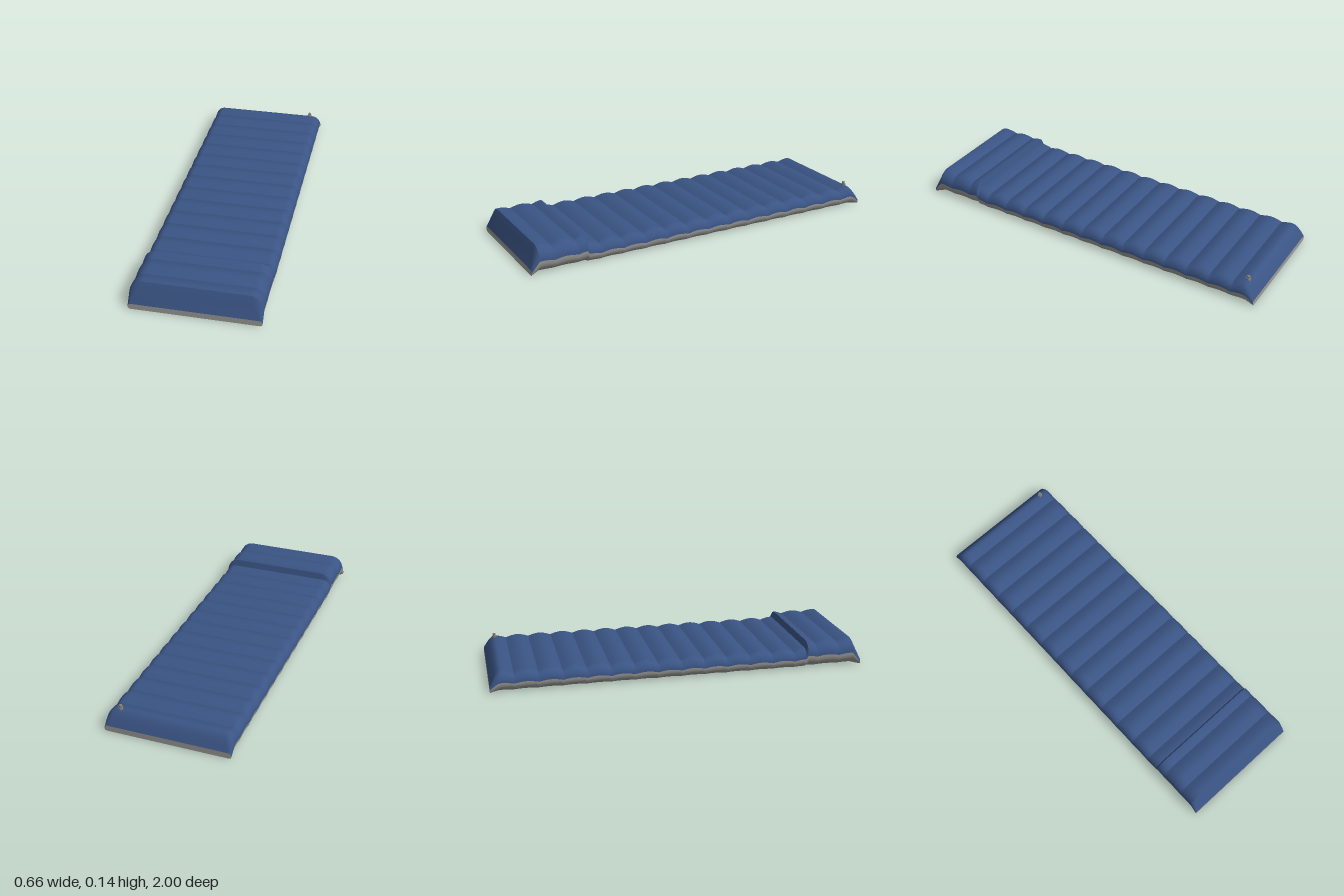
import * as THREE from 'three';
import { toCreasedNormals } from 'three/addons/utils/BufferGeometryUtils.js';

const HALF_WIDTH = 0.33, TUBE = 0.125, END_HEIGHT = 0.03;
const ARC = 8; // segments per quarter of the rounded sides

// Thickness of the mattress along its length
function heightAt(z) {
  const wave = Math.abs(Math.sin((Math.PI * z) / TUBE));
  if (z > 0.955) return THREE.MathUtils.mapLinear(z, 0.955, 1, 0.14, END_HEIGHT);
  if (z >= 0.75) return 0.124 + 0.016 * wave;
  if (z >= 0.7) return 0.124 + 0.016 * Math.sin((Math.PI / 2) * (0.75 - z) / 0.05);
  if (z < -0.9375) {
    const t = (-0.9375 - z) / 0.0625;
    return END_HEIGHT + 0.075 * Math.cos((t * Math.PI) / 2);
  }
  return 0.088 + 0.017 * wave;
}

// Half a stadium cross-section: start 0 is the top half, start PI the bottom half
function section(z, start) {
  const r = heightAt(z) / 2, points = [];
  for (let i = 0; i <= 2 * ARC; i++) {
    const a = start + (i / (2 * ARC)) * Math.PI;
    const x = Math.cos(a) * r, y = r + Math.sin(a) * r;
    const side = start === 0 ? 1 : -1;
    const inset = HALF_WIDTH - r;
    if (i <= ARC) points.push([x + side * inset, y, z]);
    if (i >= ARC) points.push([x - side * inset, y, z]);
  }
  return points;
}

function shell(rows, start) {
  const positions = [], indices = [];
  const n = 2 * ARC + 2;
  rows.forEach((z, j) => {
    section(z, start).forEach((p) => positions.push(...p));
    if (j === 0) return;
    for (let i = 0; i < n - 1; i++) {
      const a = (j - 1) * n + i, b = a + 1, c = a + n, d = c + 1;
      indices.push(a, b, c, b, d, c);
    }
  });
  const geometry = new THREE.BufferGeometry();
  geometry.setAttribute('position', new THREE.Float32BufferAttribute(positions, 3));
  geometry.setIndex(indices);
  return toCreasedNormals(geometry, 0.5);
}

export function createModel() {
  const model = new THREE.Group();
  model.name = 'airMattress';
  const blue = new THREE.MeshStandardMaterial({ color: 0x3a5484 });
  blue.name = 'blue fabric';
  const grey = new THREE.MeshStandardMaterial({ color: 0x9c9c9a });
  grey.name = 'grey fabric';
  const valveGrey = new THREE.MeshStandardMaterial({ color: 0x85817a });
  valveGrey.name = 'valve grey';

  const add = (name, geometry, material, x = 0, y = 0, z = 0) => {
    const mesh = new THREE.Mesh(geometry, material);
    mesh.name = name;
    mesh.position.set(x, y, z);
    model.add(mesh);
    return mesh;
  };

  // Row positions: even steps plus the edges of the pillow
  const rows = [0.955, 0.7, 0.69];
  for (let i = 0; i <= 192; i++) {
    const z = -1 + i / 96;
    if (z < 0.685 || z > 0.705) rows.push(z);
  }
  for (let i = 1; i < 16; i++) rows.push(-1 + i * TUBE);
  rows.sort((a, b) => a - b);
  const unique = rows.filter((z, i) => i === 0 || z - rows[i - 1] > 1e-5);

  add('topFabric', shell(unique, 0), blue);
  add('bottomFabric', shell(unique, Math.PI), grey);

  // Flat strips closing both ends
  const r = END_HEIGHT / 2, shape = new THREE.Shape();
  shape.absarc(HALF_WIDTH - r, r, r, -Math.PI / 2, Math.PI / 2, false);
  shape.absarc(-HALF_WIDTH + r, r, r, Math.PI / 2, (3 * Math.PI) / 2, false);
  add('headEnd', new THREE.ShapeGeometry(shape), grey, 0, 0, 1);
  add('footEnd', new THREE.ShapeGeometry(shape), grey, 0, 0, -1).rotation.y = Math.PI;

  // Inflation valve by the foot
  add('valveBase', new THREE.CylinderGeometry(0.012, 0.012, 0.014, 16), valveGrey, 0.265, 0.105, -0.94);
  add('valveCap', new THREE.CylinderGeometry(0.008, 0.008, 0.016, 16), valveGrey, 0.265, 0.117, -0.94);

  return model;
}
